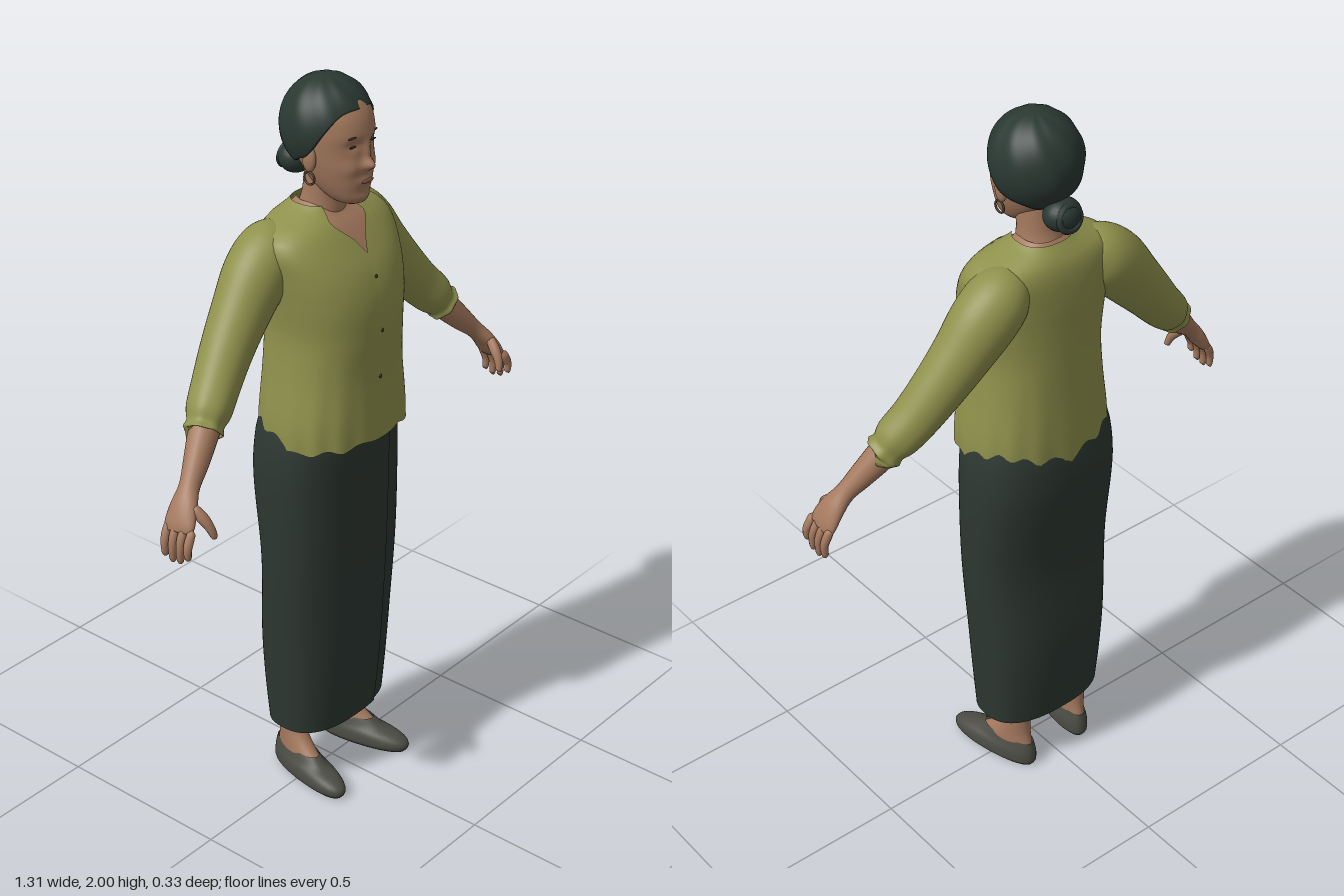
import * as THREE from 'three';

const mat = (name, color, side = THREE.FrontSide) => {
  const m = new THREE.MeshStandardMaterial({ color, side });
  m.name = name;
  return m;
};

// Smooth interpolation through rows of [key, ...values]
function sample(rows, k) {
  const last = rows.length - 1;
  k = Math.min(Math.max(k, rows[0][0]), rows[last][0]);
  let i = 0;
  while (i < last - 1 && k > rows[i + 1][0]) i++;
  const h = rows[i + 1][0] - rows[i][0], t = (k - rows[i][0]) / h;
  const slope = (j, c) => {
    const a = rows[Math.max(j - 1, 0)], b = rows[Math.min(j + 1, last)];
    return (b[c] - a[c]) / (b[0] - a[0]);
  };
  const t2 = t * t, t3 = t2 * t;
  return rows[i].slice(1).map((v, n) => {
    const c = n + 1;
    return (2 * t3 - 3 * t2 + 1) * v + (t3 - 2 * t2 + t) * h * slope(i, c)
      + (3 * t2 - 2 * t3) * rows[i + 1][c] + (t3 - t2) * h * slope(i + 1, c);
  });
}

// Surface from fn(u, v); u runs round, v runs along
function grid(fn, nu, nv, closed = true) {
  const pos = [], idx = [], cols = closed ? nu : nu + 1;
  for (let j = 0; j <= nv; j++)
    for (let i = 0; i < cols; i++) pos.push(...fn(i / nu, j / nv));
  for (let j = 0; j < nv; j++)
    for (let i = 0; i < nu; i++) {
      const a = j * cols + i, b = j * cols + (i + 1) % cols;
      idx.push(a, a + cols, b, b, a + cols, b + cols);
    }
  const g = new THREE.BufferGeometry();
  g.setAttribute('position', new THREE.Float32BufferAttribute(pos, 3));
  g.setIndex(idx);
  g.computeVertexNormals();
  return g;
}

// Point on a horizontal cross-section; rows are [y, halfWidth, zFront, zBack]
function ring(rows, y, a, n = 2, k = 1) {
  const [w, f, b] = sample(rows, y);
  const p = v => Math.sign(v) * Math.pow(Math.abs(v), 2 / n);
  return [k * w * p(Math.cos(a)), y, (f + b) / 2 + k * (f - b) / 2 * p(Math.sin(a))];
}
const TAU = Math.PI * 2;

// Upright body, with the bottom closed
function body(rows, n, nu = 32, nv = 24) {
  const y0 = rows[0][0], y1 = rows[rows.length - 1][0];
  return grid((u, v) => {
    const t = Math.max(v * nv - 1, 0) / (nv - 1);
    return ring(rows, y0 + (y1 - y0) * t, u * TAU, n, v === 0 ? 0 : 1);
  }, nu, nv);
}

// Tapered limb along points [x, y, z, thickness, width], ends closed; s mirrors x
function limb(points, s, nu = 16, nv = 24, fold = 0) {
  const rows = points.map((p, i) => [i, p[0] * s, p[1], p[2], p[3], p[4] ?? p[3]]);
  const end = rows.length - 1;
  return grid((u, v) => {
    const k = v * end, [x, y, z, r1, r2] = sample(rows, k);
    const p = sample(rows, k - 0.05), q = sample(rows, k + 0.05);
    const T = new THREE.Vector3(q[0] - p[0], q[1] - p[1], q[2] - p[2]).normalize();
    const B = new THREE.Vector3(0, 0, 1).addScaledVector(T, -T.z).normalize();
    const N = T.clone().cross(B), a = u * TAU;
    const e = (v === 0 || v === 1) ? 0 : 1 + fold * v ** 4 * Math.sin(7 * a);
    return new THREE.Vector3(x, y, z).addScaledVector(N, e * r1 * Math.cos(a))
      .addScaledVector(B, e * r2 * Math.sin(a)).toArray();
  }, nu, nv);
}

const TORSO = [[1.03, 0.2, 0.165, -0.157], [1.12, 0.2, 0.163, -0.156], [1.25, 0.183, 0.16, -0.152],
  [1.36, 0.176, 0.165, -0.15], [1.45, 0.187, 0.16, -0.149], [1.53, 0.2, 0.135, -0.148],
  [1.6, 0.207, 0.09, -0.142], [1.64, 0.17, 0.058, -0.13], [1.66, 0.1, 0.035, -0.115], [1.685, 0.064, 0.02, -0.095]];
const HEAD = [[1.686, 0.012, 0.075, 0.04], [1.695, 0.036, 0.096, 0.01], [1.73, 0.06, 0.107, -0.04],
  [1.78, 0.077, 0.11, -0.08], [1.83, 0.086, 0.109, -0.1], [1.88, 0.089, 0.112, -0.11],
  [1.93, 0.084, 0.094, -0.1], [1.97, 0.055, 0.055, -0.07], [1.985, 0.01, 0, -0.02]];
const SKIRT = [[0.18, 0.18, 0.092, -0.13], [0.3, 0.187, 0.103, -0.142], [0.45, 0.195, 0.112, -0.148],
  [0.7, 0.208, 0.12, -0.136], [0.95, 0.213, 0.124, -0.16], [1.06, 0.204, 0.126, -0.157], [1.12, 0.19, 0.12, -0.145]];
const NECK = [[1.6, 0.075, 0.03, -0.1], [1.66, 0.06, 0.03, -0.09], [1.7, 0.054, 0.03, -0.078], [1.78, 0.052, 0.04, -0.07]];
const FOOT = [[0.03, 0.03, 0.085, -0.1], [0.055, 0.033, 0.07, -0.11], [0.075, 0.033, 0.045, -0.108],
  [0.105, 0.032, 0.01, -0.102], [0.15, 0.033, -0.018, -0.1], [0.22, 0.04, -0.005, -0.1], [0.34, 0.048, 0.01, -0.1]];
const SHOE = [[0, 0.036, 0.15, -0.112], [0.012, 0.046, 0.16, -0.12], [0.03, 0.047, 0.157, -0.121],
  [0.045, 0.044, 0.13, -0.12], [0.058, 0.038, 0.085, -0.118], [0.08, 0.03, 0.05, -0.113]];

// Depth of the front surface at a given x and y
const frontZ = (rows, x, y, n) => {
  const [w, f, b] = sample(rows, y);
  return (f + b) / 2 + (f - b) / 2 * Math.pow(1 - Math.pow(Math.abs(x) / w, n), 1 / n);
};
const bump = (x, y, cx, cy, sx, sy) => Math.exp(-(((x - cx) / sx) ** 2) - ((y - cy) / sy) ** 2);

export function createModel() {
  const model = new THREE.Group();
  const skin = mat('skin', 0xa4795e), hair = mat('hair', 0x2a3832, THREE.DoubleSide);
  const cloth = mat('blouse green', 0x8f914c, THREE.DoubleSide), dark = mat('skirt green', 0x2d3731, THREE.DoubleSide);
  const shoe = mat('shoe grey', 0x4b4b44, THREE.DoubleSide), lip = mat('lip brown', 0x8a5a4a);
  const ink = mat('dark brown', 0x3b2d26), metal = mat('earring bronze', 0x4a3a28);
  const add = (name, geo, m, x = 0, y = 0, z = 0) => {
    const mesh = new THREE.Mesh(geo, m);
    mesh.name = name;
    mesh.position.set(x, y, z);
    model.add(mesh);
    return mesh;
  };
  const blob = (name, m, x, y, z, sx, sy, sz) => {
    const b = add(name, new THREE.SphereGeometry(1, 24, 16), m, x, y, z);
    b.scale.set(sx, sy, sz);
    return b;
  };

  // Blouse with V neck, gathered hem
  add('blouse', grid((u, v) => {
    const a = u * TAU, f = Math.sin(a), c = Math.min(1, Math.abs(Math.cos(a)) / 0.65);
    const top = f > 0 ? 1.565 + 0.112 * Math.sqrt(c) : 1.677;
    const hem = 1.058 + 0.012 * f + 0.006 * Math.sin(11 * a);
    const gather = 1 + 0.014 * Math.sin(15 * a) * (1 - v) ** 4;
    return ring(TORSO, hem + (top - hem) * v, a, 2.4, gather);
  }, 96, 40), cloth);
  add('upperChest', body(TORSO.slice(4).map(([y, w, f, b]) => [y - 0.006, w - 0.007, f - 0.007, b + 0.007]), 2.4, 64), skin);
  add('neck', body(NECK, 2), skin);
  for (const y of [1.51, 1.37, 1.24])
    blob('button', ink, 0, y, frontZ(TORSO, 0, y, 2.4), 0.005, 0.005, 0.003);

  // Wrapped skirt: a spiral whose end tucks under the front panel
  add('skirt', grid((u, v) => {
    const tuck = THREE.MathUtils.smoothstep(u, 0.85, 1);
    return ring(SKIRT, 0.18 + 0.94 * v, 1.22 + u * (TAU + 0.25), 2.5, 1.01 - 0.06 * tuck);
  }, 80, 36, false), dark);

  // Head with modelled nose, eye sockets, cheeks and lips
  add('head', grid((u, v) => {
    const p = ring(HEAD, 1.686 + 0.299 * v, u * TAU, 2.15), [x, y] = p;
    if (p[2] > 0) p[2] += 0.024 * bump(x, y, 0, 1.797, 0.016, 0.014) + 0.012 * bump(x, y, 0, 1.83, 0.01, 0.03)
      + 0.007 * bump(x, y, 0, 1.755, 0.026, 0.012) + 0.006 * bump(x, y, 0, 1.708, 0.025, 0.014)
      + 0.006 * bump(Math.abs(x), y, 0.045, 1.79, 0.022, 0.022) - 0.007 * bump(Math.abs(x), y, 0.036, 1.85, 0.018, 0.012);
    return p;
  }, 96, 64), skin);
  blob('lips', lip, 0, 1.755, frontZ(HEAD, 0, 1.755, 2.15) + 0.005, 0.022, 0.006, 0.004);

  // Hair cap with combed strands, hairline arching over the face
  add('hair', grid((u, v) => {
    const a = u * TAU, f = Math.sin(a), s = THREE.MathUtils.smoothstep(f, 0, 1);
    const edge = f > 0 ? 2.15 - 1.05 * s : 2.15 - 0.5 * f;
    const phi = edge * (1 - v), k = (v === 0 ? 0.86 : 1) * (1 + 0.014 * Math.sin(9 * a + 4 * phi) * Math.sin(phi));
    const r = k * Math.sin(phi);
    return [0.116 * r * Math.cos(a), 1.872 + 0.127 * k * Math.cos(phi), -0.014 + 0.121 * r * f];
  }, 96, 30), hair);
  blob('hairBun', hair, 0, 1.762, -0.113, 0.05, 0.042, 0.044);
  const twist = add('bunTwist', new THREE.TorusGeometry(0.03, 0.01, 8, 24), hair, 0, 1.762, -0.14);
  twist.rotation.x = 0.2;

  for (const s of [1, -1]) {
    const side = s > 0 ? 'left' : 'right';
    // Face details
    blob(side + 'Eye', ink, s * 0.036, 1.847, frontZ(HEAD, 0.036, 1.847, 2.15) - 0.005, 0.014, 0.003, 0.003);
    const brow = blob(side + 'Brow', ink, s * 0.038, 1.872, frontZ(HEAD, 0.038, 1.872, 2.15) - 0.002, 0.018, 0.003, 0.003);
    brow.rotation.set(0, s * 0.25, -s * 0.12);
    blob(side + 'Ear', skin, s * 0.09, 1.81, 0.005, 0.012, 0.034, 0.02);
    const ring1 = add(side + 'Earring', new THREE.TorusGeometry(0.016, 0.003, 6, 16), metal, s * 0.093, 1.762, 0.008);
    ring1.rotation.y = Math.PI / 2;

    // Sleeve gathered at the cuff
    add(side + 'Sleeve', limb([[0.1, 1.6, -0.07, 0.05], [0.15, 1.575, -0.07, 0.078], [0.205, 1.525, -0.069, 0.086, 0.082],
      [0.27, 1.45, -0.063, 0.077, 0.073], [0.335, 1.375, -0.052, 0.068, 0.066], [0.395, 1.305, -0.036, 0.061],
      [0.44, 1.258, -0.02, 0.057], [0.462, 1.234, -0.012, 0.047], [0.475, 1.22, -0.007, 0.05],
      [0.477, 1.218, -0.006, 0.034]], s, 42, 48, 0.06), cloth);

    // Forearm running into a flat palm
    add(side + 'Arm', limb([[0.4, 1.3, -0.035, 0.04], [0.47, 1.222, -0.008, 0.039], [0.525, 1.163, 0.014, 0.032],
      [0.566, 1.122, 0.029, 0.024, 0.027], [0.597, 1.087, 0.039, 0.022, 0.038], [0.62, 1.052, 0.046, 0.018, 0.045],
      [0.632, 1.028, 0.05, 0.011, 0.042]], s, 20, 36), skin);
    [0.012, 0.02, 0.016, 0].forEach((d, i) => {
      const z = 0.014 + i * 0.025;
      add(side + 'Finger', limb([[0.622, 1.05, z, 0.01], [0.638, 1.022, z + 0.002, 0.012], [0.646, 1.003 - d / 2, z + 0.004, 0.0105],
        [0.645, 0.983 - d, z + 0.004, 0.009], [0.642, 0.977 - d, z + 0.004, 0.005]], s, 10, 12), skin);
    });
    add(side + 'Thumb', limb([[0.597, 1.095, 0.06, 0.012], [0.588, 1.068, 0.088, 0.015], [0.581, 1.044, 0.106, 0.012],
      [0.575, 1.02, 0.114, 0.009], [0.573, 1.014, 0.115, 0.005]], s, 10, 14), skin);

    // Foot and slip-on shoe, toes turned out
    const foot = add(side + 'Foot', body(FOOT, 2), skin, s * 0.112);
    const slip = add(side + 'Shoe', body(SHOE, 2.2, 36, 20), shoe, s * 0.112);
    foot.rotation.y = slip.rotation.y = s * 0.2;
  }
  return model;
}
